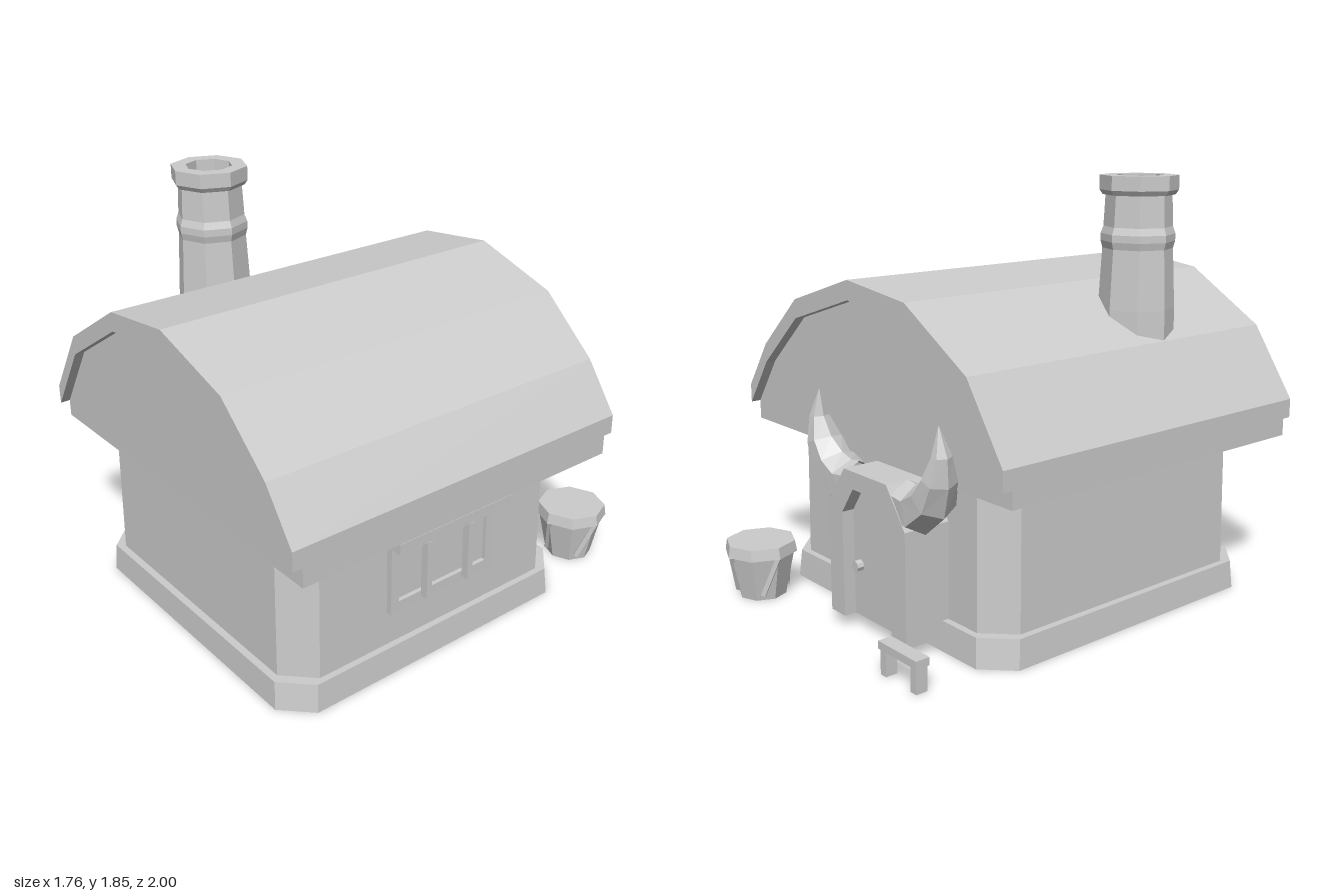
import * as THREE from 'three';

const V = (x, y, z) => new THREE.Vector3(x, y, z);

export function createModel() {
  const model = new THREE.Group();
  // double-sided because the plinth and tub are open underneath
  const grey = new THREE.MeshStandardMaterial({ color: 0xcccccc, flatShading: true, side: THREE.DoubleSide });

  const add = (name, geometry, x = 0, y = 0, z = 0) => {
    const mesh = new THREE.Mesh(geometry, grey);
    mesh.name = name;
    mesh.position.set(x, y, z);
    model.add(mesh);
    return mesh;
  };

  // box given by its lower and upper corners
  const box = (name, [x0, y0, z0], [x1, y1, z1]) =>
    add(name, new THREE.BoxGeometry(x1 - x0, y1 - y0, z1 - z0), (x0 + x1) / 2, (y0 + y1) / 2, (z0 + z1) / 2);

  // outline in x and y pulled from z0 to z1
  const slab = (name, points, z0, z1) => {
    const shape = new THREE.Shape(points.map(([x, y]) => new THREE.Vector2(x, y)));
    const geometry = new THREE.ExtrudeGeometry(shape, { depth: z1 - z0, bevelEnabled: false });
    return add(name, geometry, 0, 0, z0);
  };

  const lathe = (name, profile, x, z) =>
    add(name, new THREE.LatheGeometry(profile.map(([r, y]) => new THREE.Vector2(r, y)), 8), x, 0, z);

  // skin over equal rings of points, open at the start, optionally closed at the end
  const loft = (rings, closeEnd) => {
    const pos = [];
    const tri = (...pts) => pts.forEach((p) => pos.push(p.x, p.y, p.z));
    const n = rings[0].length;
    for (let r = 0; r < rings.length - 1; r++) {
      for (let i = 0; i < n; i++) {
        const j = (i + 1) % n, a = rings[r], b = rings[r + 1];
        tri(a[i], a[j], b[j]);
        tri(a[i], b[j], b[i]);
      }
    }
    const last = rings[rings.length - 1];
    if (closeEnd) for (let i = 1; i < n - 1; i++) tri(last[0], last[i], last[i + 1]);
    const geometry = new THREE.BufferGeometry();
    geometry.setAttribute('position', new THREE.Float32BufferAttribute(pos, 3));
    geometry.computeVertexNormals();
    return geometry;
  };

  // rectangle with cut corners at height y
  const cutRect = (x0, x1, z0, z1, y, c = 0.12) => [
    V(x1, y, z1 - c), V(x1, y, z0 + c), V(x1 - c, y, z0), V(x0 + c, y, z0),
    V(x0, y, z0 + c), V(x0, y, z1 - c), V(x0 + c, y, z1), V(x1 - c, y, z1),
  ];

  // plinth with the floor as its top, open below; walls stand on it
  add('plinth', loft([cutRect(-0.76, 0.757, -0.605, 0.927, 0), cutRect(-0.75, 0.747, -0.595, 0.919, 0.125)], true));
  add('walls', loft([cutRect(-0.72, 0.719, -0.565, 0.887, 0.125), cutRect(-0.715, 0.714, -0.56, 0.879, 0.72)], false));

  // roof shell over a solid gable block
  const roofTop = [[-0.882, 0.87], [-0.68, 1.175], [-0.31, 1.4], [0.072, 1.447], [0.472, 1.322], [0.733, 1.09], [0.882, 0.88]];
  const roofUnder = roofTop.map(([x, y]) => [x, y - 0.083]);
  slab('roof', [...roofUnder, ...[...roofTop].reverse()], -0.68, 1);
  slab('gable', [[-0.882, 0.713], [0.882, 0.713], ...[...roofUnder].reverse()], -0.635, 0.957);

  // hollow eight-sided chimney
  lathe('chimney', [
    [0.163, 1.05], [0.16, 1.3], [0.147, 1.55], [0.155, 1.58], [0.155, 1.61], [0.144, 1.64], [0.138, 1.77],
    [0.15, 1.77], [0.164, 1.79], [0.164, 1.85], [0.1, 1.85], [0.1, 1.68], [0, 1.68],
  ], -0.515, 0.385);

  // window on the right-hand wall
  const [wz0, wz1] = [-0.132, 0.427];
  box('windowPane', [0.7, 0.3, wz0 + 0.02], [0.725, 0.6, wz1 - 0.02]);
  box('windowSill', [0.7, 0.28, wz0], [0.744, 0.33, wz1]);
  box('windowHead', [0.7, 0.57, wz0], [0.744, 0.61, wz1]);
  for (const z of [wz0, wz1 - 0.04]) box('windowJamb', [0.7, 0.33, z], [0.744, 0.57, z + 0.04]);
  for (const z of [0.037, 0.262]) box('windowBar', [0.752, 0.315, z - 0.014], [0.787, 0.58, z + 0.014]);
  box('windowLintel', [0.7, 0.607, -0.157], [0.816, 0.655, 0.447]);

  // back door in a heavy arched frame
  const doorX = -0.16;
  const arch = [[-0.262, 0.055], [-0.262, 0.535], [-0.145, 0.7], [0.145, 0.7], [0.262, 0.535], [0.262, 0.055]];
  const opening = [[0.165, 0.055], [0.165, 0.51], [0.085, 0.625], [-0.085, 0.625], [-0.165, 0.51], [-0.165, 0.055]];
  const shift = ([x, y]) => [x + doorX, y];
  slab('doorFrame', [...arch, ...opening].map(shift), -0.775, -0.55);
  slab('door', opening.map(shift), -0.72, -0.61);
  const knob = add('doorKnob', new THREE.CylinderGeometry(0.024, 0.024, 0.03, 8), doorX + 0.12, 0.28, -0.735);
  knob.rotation.x = Math.PI / 2;

  // horns rising from the shoulders of the frame: x, y, z, radius across, radius in depth
  const hornPath = [
    [0.16, 0.615, -0.685, 0.095, 0.098], [0.25, 0.608, -0.687, 0.1, 0.101], [0.34, 0.668, -0.693, 0.085, 0.097],
    [0.392, 0.76, -0.705, 0.058, 0.078], [0.415, 0.86, -0.712, 0.034, 0.044], [0.403, 0.975, -0.716, 0.002, 0.002],
  ];
  for (const side of [-1, 1]) {
    const centres = hornPath.map(([x, y, z]) => V(doorX + side * x, y, z));
    const rings = centres.map((p, i) => {
      const t = centres[Math.min(i + 1, centres.length - 1)].clone().sub(centres[Math.max(i - 1, 0)]).setZ(0).normalize();
      const across = V(-t.y, t.x, 0);
      const [, , , ra, rz] = hornPath[i];
      return Array.from({ length: 6 }, (_, k) => {
        const a = (k / 6) * Math.PI * 2;
        return p.clone().addScaledVector(across, ra * Math.cos(a)).add(V(0, 0, rz * Math.sin(a)));
      });
    });
    add(side > 0 ? 'leftHorn' : 'rightHorn', loft(rings, true));
  }

  // tub with a rim, open below, and slanted slats
  const [tx, tz] = [0.571, -0.838];
  lathe('tub', [[0.105, 0], [0.148, 0.2], [0.162, 0.2], [0.154, 0.25], [0, 0.25]], tx, tz);
  for (let k = 0; k < 4; k++) {
    const at = (angle, r, y) => V(tx + r * Math.cos(angle), y, tz - r * Math.sin(angle));
    const a = (k * Math.PI) / 2;
    const low = at(a - 0.5, 0.105, 0.025), high = at(a, 0.146, 0.2);
    const slat = add('tubSlat', new THREE.BoxGeometry(0.02, 0.02, low.distanceTo(high)));
    slat.position.copy(low).lerp(high, 0.5);
    slat.lookAt(high);
  }

  // small bench beside the door
  box('benchSeat', [-0.667, 0.105, -0.913], [-0.428, 0.138, -0.85]);
  for (const x of [-0.66, -0.47]) box('benchLeg', [x, 0, -0.908], [x + 0.035, 0.105, -0.855]);

  return model;
}
